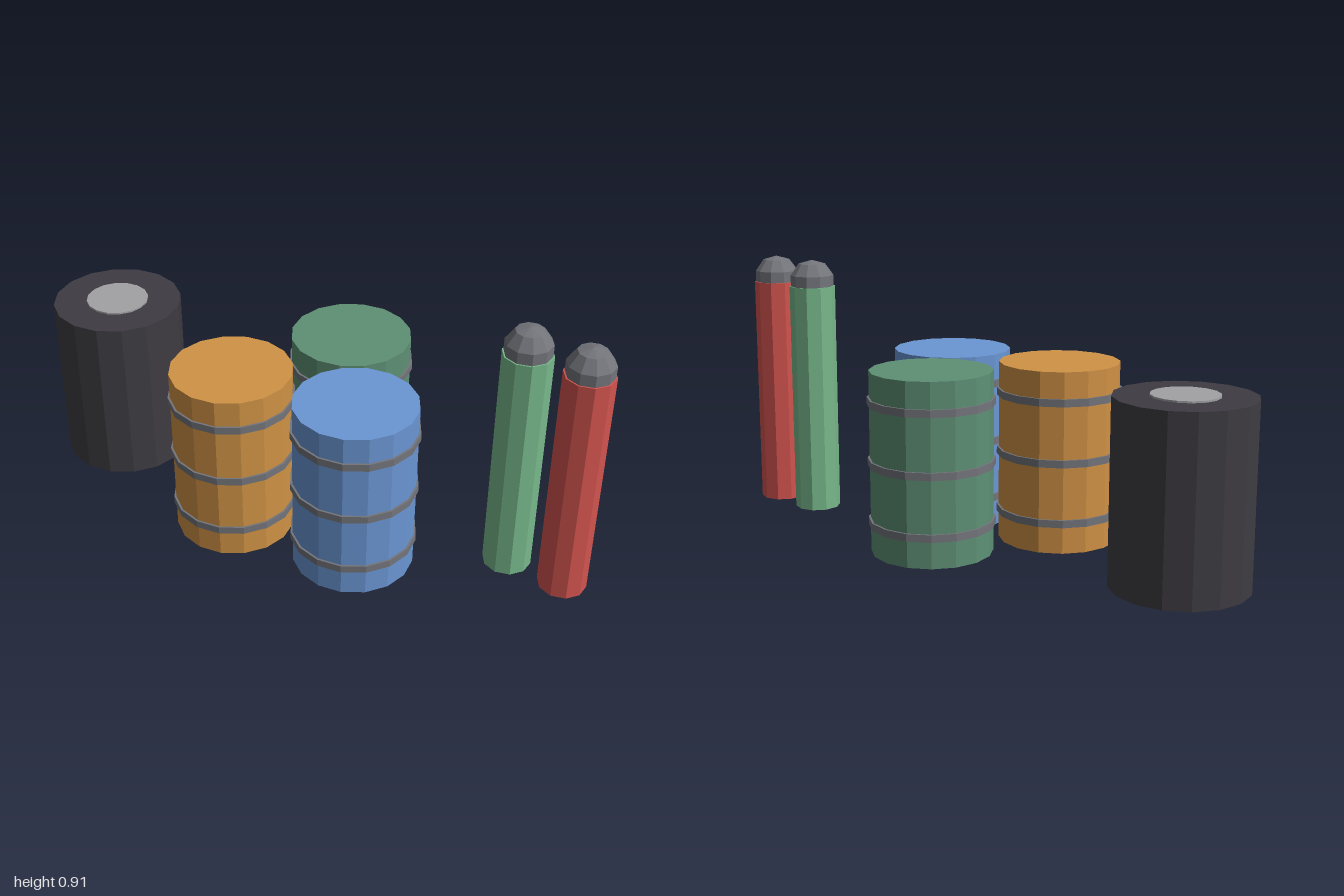
import * as THREE from 'three';

const material = (name, color) => {
  const m = new THREE.MeshStandardMaterial({ color, flatShading: true });
  m.name = name;
  return m;
};

export function createModel() {
  const model = new THREE.Group();
  model.name = 'barrelsAndCylinders';

  const orange = material('orange', 0xd09245);
  const blue = material('blue', 0x6a96d4);
  const darkGreen = material('dark green', 0x5e9075);
  const red = material('red', 0xd2544f);
  const lightGreen = material('light green', 0x78b88b);
  const steel = material('steel grey', 0x73757b);
  const rubber = material('charcoal', 0x3e3c42);
  const core = material('light grey', 0xa2a2a5);

  const add = (parent, name, geometry, mat, y = 0) => {
    const mesh = new THREE.Mesh(geometry, mat);
    mesh.name = name;
    mesh.position.y = y;
    parent.add(mesh);
  };
  const group = (name, x, z) => {
    const g = new THREE.Group();
    g.name = name;
    g.position.set(x, 0, z);
    model.add(g);
    return g;
  };
  // Upright prism standing between two heights
  const drum = (parent, name, radius, y0, y1, sides, mat) =>
    add(parent, name, new THREE.CylinderGeometry(radius, radius, y1 - y0, sides), mat, (y0 + y1) / 2);

  // Three barrels, each with three hoops
  for (const [name, x, z, mat] of [
    ['orangeBarrel', -0.164, 0.203, orange],
    ['blueBarrel', 0.276, 0.133, blue],
    ['greenBarrel', 0.037, -0.203, darkGreen],
  ]) {
    const barrel = group(name, x, z);
    drum(barrel, 'barrelBody', 0.204, 0, 0.611, 16, mat);
    for (const y of [0.103, 0.3065, 0.51]) {
      drum(barrel, 'hoop', 0.211, y - 0.0127, y + 0.0127, 16, steel);
    }
  }

  // Large dark roll with a core standing slightly proud at both ends
  const roll = group('darkRoll', -0.777, 0.064);
  drum(roll, 'rollBody', 0.223, 0.006, 0.604, 16, rubber);
  drum(roll, 'rollCore', 0.108, 0, 0.61, 16, core);

  // Two slim gas cylinders with faceted domed caps
  const capProfile = [[0.076, 0.81], [0.076, 0.855], [0.047, 0.896], [0, 0.909]]
    .map(([r, y]) => new THREE.Vector2(r, y));
  for (const [name, x, mat] of [['greenGasCylinder', 0.718, lightGreen], ['redGasCylinder', 0.922, red]]) {
    const bottle = group(name, x, -0.135);
    drum(bottle, 'cylinderBody', 0.081, 0, 0.816, 10, mat);
    add(bottle, 'domedCap', new THREE.LatheGeometry(capProfile, 10), steel);
  }

  return model;
}
